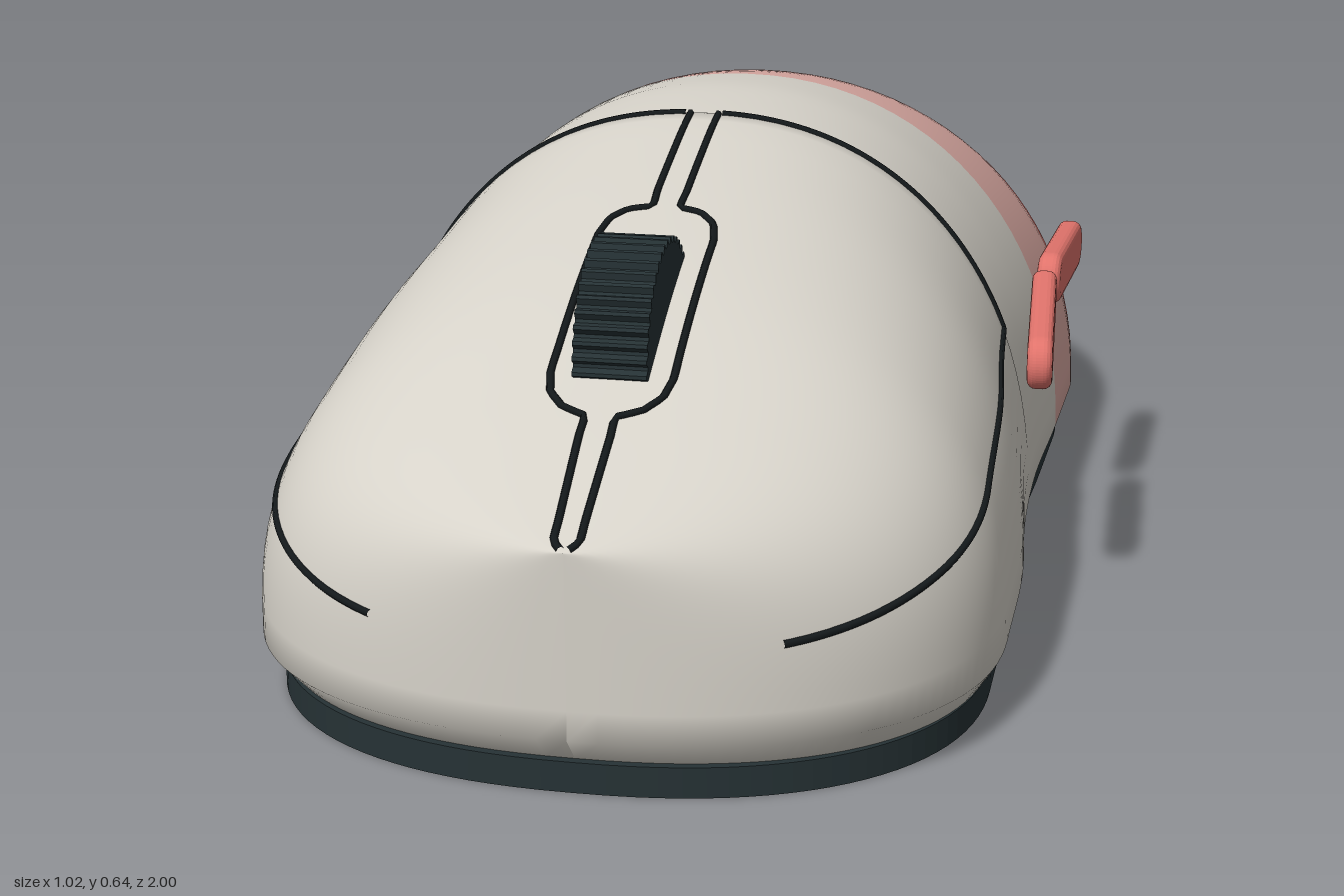
import * as THREE from 'three';

const mat = (name, color, side = THREE.FrontSide) => {
  const m = new THREE.MeshStandardMaterial({ color, side });
  m.name = name;
  return m;
};

// Smooth interpolation through a short table of [z, value]
function sample(table, z) {
  let i = 0;
  while (i < table.length - 2 && z > table[i + 1][0]) i++;
  const slope = (k) => {
    const a = table[Math.max(0, k - 1)], b = table[Math.min(table.length - 1, k + 1)];
    return (b[1] - a[1]) / (b[0] - a[0]);
  };
  const [z0, v0] = table[i], [z1, v1] = table[i + 1];
  const d = z1 - z0, t = THREE.MathUtils.clamp((z - z0) / d, 0, 1), t2 = t * t, t3 = t2 * t;
  return (2 * t3 - 3 * t2 + 1) * v0 + (t3 - 2 * t2 + t) * d * slope(i)
    + (3 * t2 - 2 * t3) * v1 + (t3 - t2) * d * slope(i + 1);
}

const BELLY = 0.08;      // height of the widest line
const STEP = 0.13;       // rear edge of the click panels
const waist = [[-0.42, 0.5], [-0.2, 0.488], [0, 0.475], [0.2, 0.475], [0.4, 0.487], [0.6, 0.485]];
const rearTop = [[-1, 0.09], [-0.95, 0.14], [-0.9, 0.2], [-0.8, 0.33], [-0.7, 0.44], [-0.6, 0.51],
  [-0.45, 0.575], [-0.3, 0.61], [-0.1, 0.634], [0, 0.632], [0.12, 0.622]];
const frontTop = [[0.13, 0.64], [0.2, 0.627], [0.4, 0.575], [0.6, 0.51], [0.8, 0.42], [0.9, 0.37], [1, 0.318]];
const squareness = [[-1, 2.1], [-0.4, 2.1], [0.1, 2.2], [0.6, 2.5], [1, 3]];
const lowerSeam = [[0.13, 0.345], [0.5, 0.302], [0.8, 0.245], [0.955, 0.205]];

const height = (z) => sample(z < STEP ? rearTop : frontTop, z);
const power = (z) => sample(squareness, z);
function halfWidth(z) {
  if (z < -0.42) return 0.5 * Math.sqrt(Math.max(0, 1 - ((z + 0.42) / 0.58) ** 2));
  if (z > 0.6) return 0.485 * Math.max(0, 1 - ((z - 0.6) / 0.4) ** 2.3) ** (1 / 2.3);
  return sample(waist, z);
}
const yAt = (x, z) => {
  const n = power(z), r = Math.min(1, Math.abs(x) / halfWidth(z));
  return BELLY + (height(z) - BELLY) * (1 - r ** n) ** (1 / n);
};
const xAt = (y, z) => {
  const n = power(z), r = (y - BELLY) / (height(z) - BELLY);
  return halfWidth(z) * (1 - r ** n) ** (1 / n);
};

// Shell lofted along z, with material groups for the colour bands
function shellGeometry() {
  const fixed = [-0.45, -0.22, 0.12, STEP];
  const stations = [...fixed];
  for (let i = 0; i <= 100; i++) {
    const z = Math.sin((i / 100 - 0.5) * Math.PI);
    if (fixed.every((f) => Math.abs(f - z) > 0.008)) stations.push(z);
  }
  stations.sort((a, b) => a - b);
  const M = 48, row = M + 3, pos = [], index = [], geo = new THREE.BufferGeometry();
  for (const z of stations) {
    const w = halfWidth(z), h = height(z), e = 2 / power(z);
    const skirtZ = z * (z > 0 ? 0.96 : 0.99);
    pos.push(w * 0.955, 0.038, skirtZ);
    for (let j = 0; j <= M; j++) {
      const a = (j / M) * Math.PI, c = Math.cos(a), s = Math.max(0, Math.sin(a));
      pos.push(w * Math.sign(c) * Math.abs(c) ** e, BELLY + (h - BELLY) * s ** e, z);
    }
    pos.push(-w * 0.955, 0.038, skirtZ);
  }
  for (let i = 0; i < stations.length - 1; i++) {
    const mid = (stations[i] + stations[i + 1]) / 2, start = index.length;
    for (let j = 0; j < row - 1; j++) {
      const a = i * row + j, b = a + row;
      index.push(a, a + 1, b, a + 1, b + 1, b);
    }
    geo.addGroup(start, index.length - start, mid < -0.45 ? 2 : mid < -0.22 ? 1 : 0);
  }
  geo.setAttribute('position', new THREE.Float32BufferAttribute(pos, 3));
  geo.setIndex(index);
  geo.computeVertexNormals();
  return geo;
}

// Flat base plate following the plan outline
function baseGeometry() {
  const pts = [], N = 90;
  for (let i = 0; i < N; i++) {
    const z = Math.sin((i / N - 0.5) * Math.PI);
    pts.push(new THREE.Vector2(halfWidth(z) * 0.955, -z * 0.973));
  }
  for (let i = 0; i < N; i++) {
    const z = -Math.sin((i / N - 0.5) * Math.PI);
    pts.push(new THREE.Vector2(-halfWidth(z) * 0.955, -z * 0.973));
  }
  return new THREE.ExtrudeGeometry(new THREE.Shape(pts), { depth: 0.04, bevelEnabled: false })
    .rotateX(-Math.PI / 2);
}

// Grooves around one click panel
function seamPaths() {
  const V = (x, y, z) => new THREE.Vector3(x, y, z);
  const cross = [], lower = [], centre = [];
  const zc = STEP + 0.001;
  for (let i = 0; i <= 24; i++) {
    const a = THREE.MathUtils.lerp(Math.asin(0.44), 1.53, i / 24);
    const x = halfWidth(zc) * Math.cos(a) ** (2 / power(zc));
    cross.push(V(x, yAt(x, zc), zc));
    const z = THREE.MathUtils.lerp(zc, 0.955, Math.sin((i / 24) * Math.PI / 2));
    const y = sample(lowerSeam, z);
    lower.push(V(xAt(y, z), y, z));
  }
  cross[0].copy(lower[0]);
  const plan = [[0.02, zc], [0.02, 0.405], [0.05, 0.413], [0.07, 0.435], [0.077, 0.47], [0.077, 0.74],
    [0.07, 0.77], [0.05, 0.792], [0.02, 0.805], [0.015, 0.985], [0.003, 0.998]];
  for (let k = 0; k < plan.length - 1; k++) {
    for (let i = 0; i < 6; i++) {
      const x = THREE.MathUtils.lerp(plan[k][0], plan[k + 1][0], i / 6);
      const z = THREE.MathUtils.lerp(plan[k][1], plan[k + 1][1], i / 6);
      centre.push(V(x, yAt(x, z), z));
    }
  }
  return { crossSeam: cross, lowerSeam: lower, centreSeam: centre };
}

// Ribbed scroll wheel lying on the x axis
function wheelGeometry() {
  const shape = new THREE.Shape(), teeth = 44;
  for (let i = 0; i < teeth * 4; i++) {
    const a = (i / (teeth * 4)) * Math.PI * 2, r = i % 4 < 2 ? 0.136 : 0.128;
    shape[i ? 'lineTo' : 'moveTo'](r * Math.cos(a), r * Math.sin(a));
  }
  return new THREE.ExtrudeGeometry(shape, { depth: 0.094, bevelEnabled: false })
    .translate(0, 0, -0.047).rotateY(Math.PI / 2);
}

// Rounded pill, long along z and thin along x
function pillGeometry(length, tall, thick) {
  const bevel = 0.012, r = tall / 2 - bevel, half = length / 2 - bevel - r;
  const shape = new THREE.Shape();
  shape.absarc(half, 0, r, -Math.PI / 2, Math.PI / 2);
  shape.absarc(-half, 0, r, Math.PI / 2, Math.PI * 1.5);
  return new THREE.ExtrudeGeometry(shape, {
    depth: thick - 2 * bevel, bevelThickness: bevel, bevelSize: bevel, bevelSegments: 4, curveSegments: 14,
  }).translate(0, 0, -thick / 2 + bevel).rotateY(Math.PI / 2);
}

export function createModel() {
  const model = new THREE.Group();
  model.name = 'computerMouse';
  const grey = mat('warm grey', 0xd6d2c9, THREE.DoubleSide);
  const pink = mat('pale pink', 0xdbaaa3, THREE.DoubleSide);
  const coral = mat('coral red', 0xe0736b, THREE.DoubleSide);
  const dark = mat('dark slate', 0x263235);
  const black = mat('groove black', 0x14191b);
  const add = (name, geo, material, parent) => {
    const m = new THREE.Mesh(geo, material);
    m.name = name;
    parent.add(m);
    return m;
  };

  const body = new THREE.Group();
  body.name = 'body';
  body.position.x = -0.01;
  model.add(body);
  add('shell', shellGeometry(), [grey, pink, coral], body);
  add('basePlate', baseGeometry(), dark, body);

  // Panel grooves, mirrored
  for (const [name, pts] of Object.entries(seamPaths())) {
    for (const s of [1, -1]) {
      const path = new THREE.CatmullRomCurve3(pts.map((p) => new THREE.Vector3(p.x * s, p.y, p.z)));
      add((s > 0 ? 'left ' : 'right ') + name, new THREE.TubeGeometry(path, 90, 0.005, 6), black, body);
    }
  }

  add('scrollWheel', wheelGeometry(), dark, body).position.set(0, 0.454, 0.618);

  // Thumb buttons on the left side
  const front = add('frontThumbButton', pillGeometry(0.29, 0.074, 0.034), coral, model);
  front.position.set(0.482, 0.383, 0.243);
  front.rotation.set(0.12, 0.05, 0);
  const rear = add('rearThumbButton', pillGeometry(0.29, 0.074, 0.034), coral, model);
  rear.position.set(0.484, 0.384, -0.095);
  rear.rotation.set(-0.05, -0.06, 0);
  return model;
}
